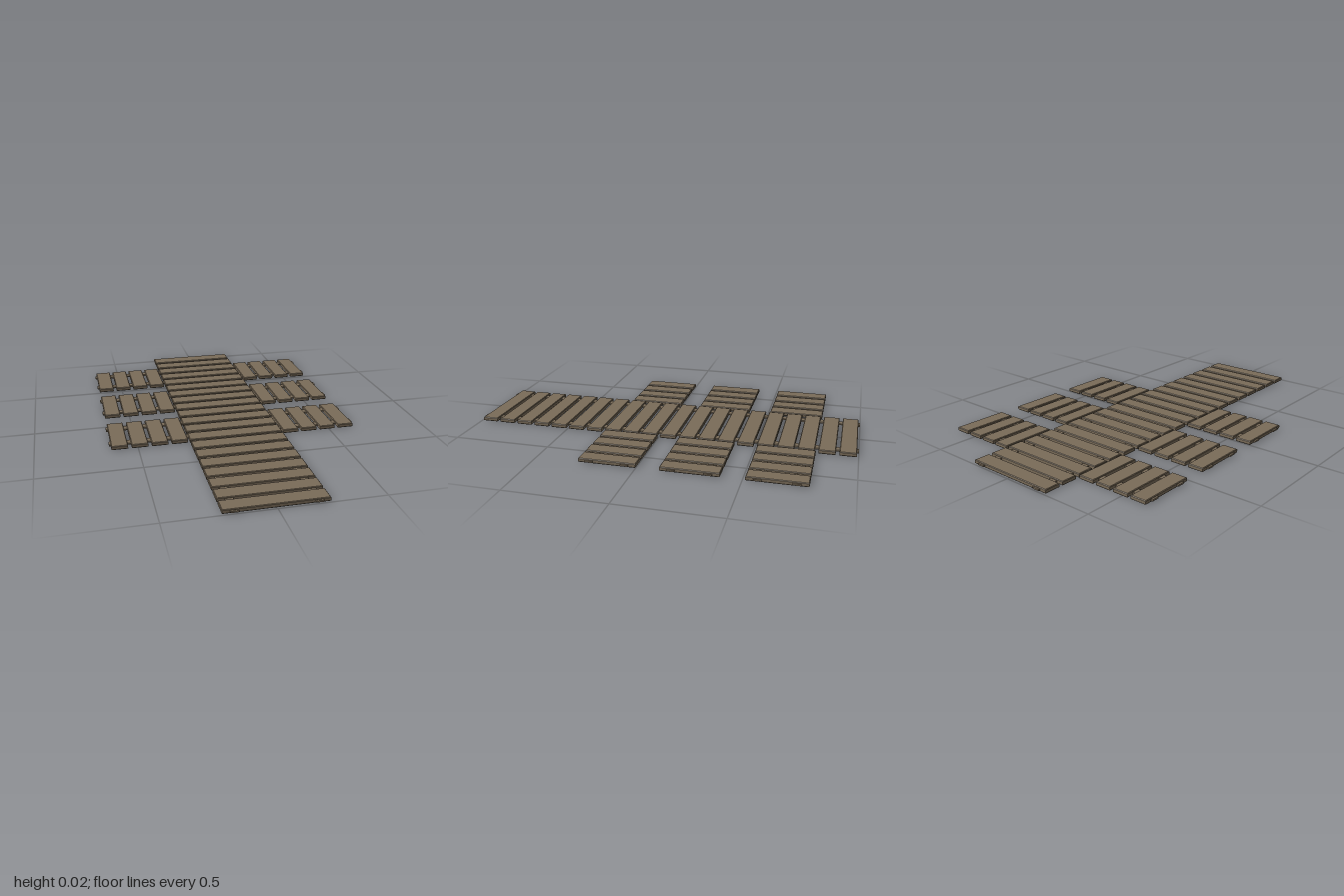
import * as THREE from 'three';

const wood = new THREE.MeshStandardMaterial({ color: 0x7a6c59 });
wood.name = 'weathered wood';

const THICK = 0.02;
const CHAMFER = 0.003;

// Plank lying flat with small chamfered edges, length along x
function plankGeometry(length, width) {
  const x = length / 2 - CHAMFER, z = width / 2 - CHAMFER;
  const shape = new THREE.Shape([
    new THREE.Vector2(-x, -z), new THREE.Vector2(x, -z),
    new THREE.Vector2(x, z), new THREE.Vector2(-x, z),
  ]);
  const geometry = new THREE.ExtrudeGeometry(shape, {
    depth: THICK - 2 * CHAMFER, bevelEnabled: true,
    bevelSize: CHAMFER, bevelThickness: CHAMFER, bevelSegments: 1,
  });
  return geometry.translate(0, 0, CHAMFER - THICK / 2).rotateX(-Math.PI / 2);
}

// Straight boardwalk running along z: crosswise planks on two thin rails
function createWalk(name, count, plankLength, railOffset) {
  const walk = new THREE.Group();
  walk.name = name;
  const planks = plankGeometry(plankLength, 0.082);
  const rails = new THREE.BoxGeometry(0.038, 0.008, count * 0.1);
  for (let i = 0; i < count; i++) {
    const plank = new THREE.Mesh(planks, wood);
    plank.name = 'plank';
    plank.position.set(0, THICK / 2, (i - (count - 1) / 2) * 0.1);
    walk.add(plank);
  }
  for (const side of [-1, 1]) {
    const rail = new THREE.Mesh(rails, wood);
    rail.name = 'rail';
    rail.position.set(side * railOffset, THICK / 2, 0);
    walk.add(rail);
  }
  return walk;
}

export function createModel() {
  const model = new THREE.Group();
  model.name = 'boardwalk';
  model.add(createWalk('mainWalk', 20, 0.48, 0.186));

  // Three pairs of side piers
  for (const z of [-0.655, -0.255, 0.143]) {
    for (const side of [-1, 1]) {
      const pier = createWalk(side > 0 ? 'leftPier' : 'rightPier', 4, 0.284, 0.0875);
      pier.rotation.y = side * Math.PI / 2;
      pier.position.set(side * 0.44, 0, z);
      model.add(pier);
    }
  }
  return model;
}
